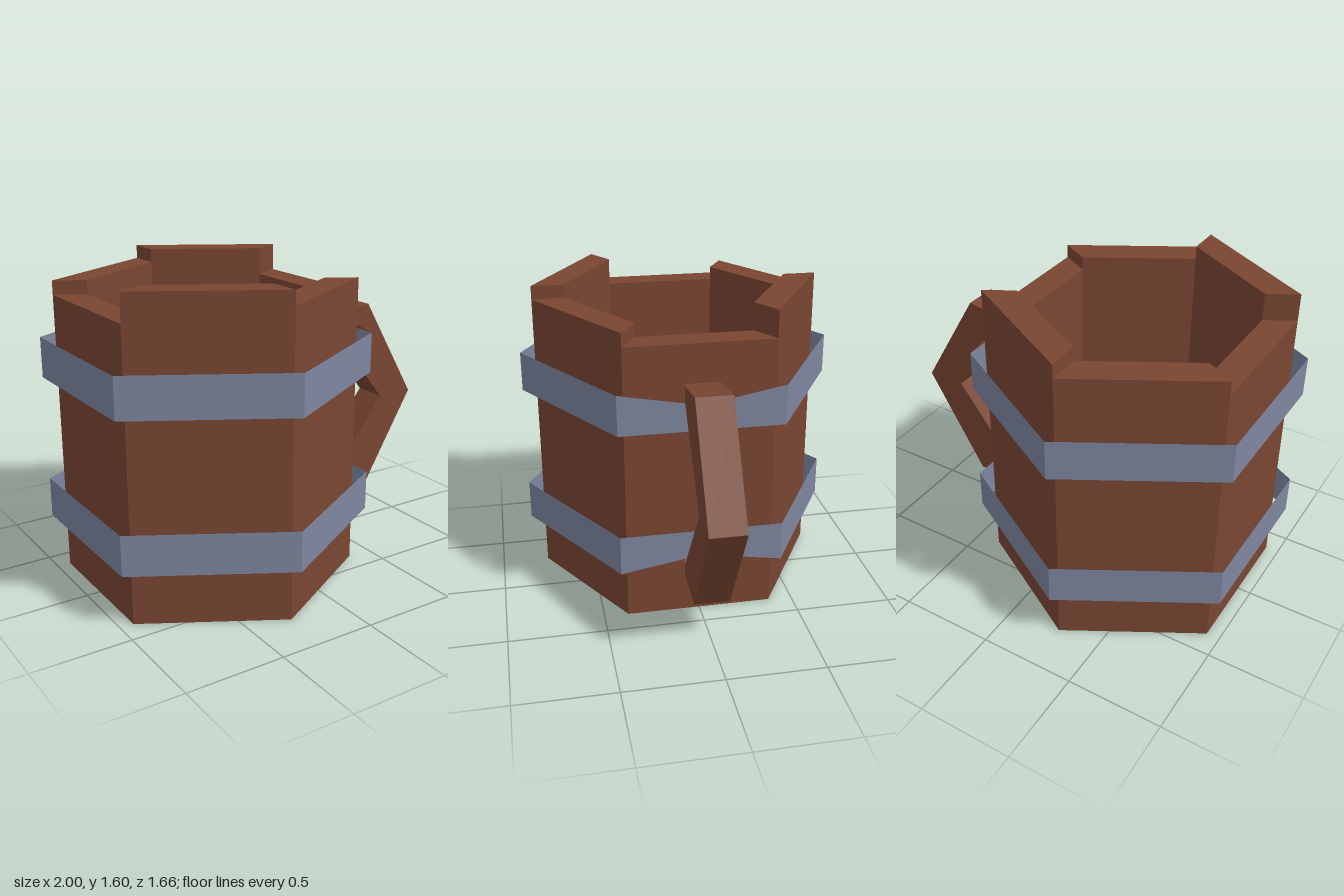
import * as THREE from 'three';

const CX = -0.28; // axis of the tankard
const wood = new THREE.MeshStandardMaterial({ color: 0x7a4632, flatShading: true });
const woodThin = new THREE.MeshStandardMaterial({ color: 0x7a4632, flatShading: true, side: THREE.DoubleSide });
const metal = new THREE.MeshStandardMaterial({ color: 0x7f87a0, flatShading: true, side: THREE.DoubleSide });

function add(parent, name, geometry, material, x = 0, y = 0, z = 0) {
  const mesh = new THREE.Mesh(geometry, material);
  mesh.name = name;
  mesh.position.set(x, y, z);
  parent.add(mesh);
  return mesh;
}

// One wall of the hexagon, mitred at both ends
function staveGeometry(k, height) {
  const at = (r, i) => new THREE.Vector2(r * Math.sin(i * Math.PI / 3), -r * Math.cos(i * Math.PI / 3));
  const outer = 0.752, inner = 0.583;
  const shape = new THREE.Shape([at(outer, k), at(outer, k + 1), at(inner, k + 1), at(inner, k)]);
  return new THREE.ExtrudeGeometry(shape, { depth: height, bevelEnabled: false }).rotateX(-Math.PI / 2);
}

export function createModel() {
  const model = new THREE.Group();
  model.name = 'tankard';

  // Staves of uneven height, starting at the front left side of the model
  const heights = [1.525, 1.455, 1.595];
  const body = new THREE.Group();
  body.name = 'body';
  body.position.x = CX;
  model.add(body);
  for (let k = 0; k < 6; k++) add(body, 'stave', staveGeometry(k, heights[k % 3]), wood);
  add(body, 'floor', new THREE.CylinderGeometry(0.583, 0.583, 0.17, 6), wood, 0, 0.085);

  // Thin metal hoops standing clear of the wall
  for (const y of [0.387, 1.14])
    add(model, 'hoop', new THREE.CylinderGeometry(0.828, 0.828, 0.207, 6, 1, true), metal, CX, y);

  // Angular handle
  const profile = [[0.39, 1.262], [0.68, 1.305], [1, 0.765], [0.68, 0.22], [0.405, 0.257], [0.79, 0.765]];
  const handleShape = new THREE.Shape(profile.map(([x, y]) => new THREE.Vector2(x, y)));
  add(model, 'handle', new THREE.ExtrudeGeometry(handleShape, { depth: 0.18, bevelEnabled: false }), wood, 0, 0, -0.09);

  // Flat webs tapering from the handle ends to the hoop corners
  for (const side of [-1, 1]) {
    for (const [tip, near, far] of [[1.243, 1.185, 1.284], [0.284, 0.34, 0.245]]) {
      const web = new THREE.BufferGeometry().setFromPoints([
        new THREE.Vector3(0.437, tip, side * 0.412),
        new THREE.Vector3(0.441, near, side * 0.09),
        new THREE.Vector3(0.441, far, side * 0.09),
      ]);
      web.computeVertexNormals();
      add(model, 'handleWeb', web, woodThin);
    }
  }
  return model;
}
